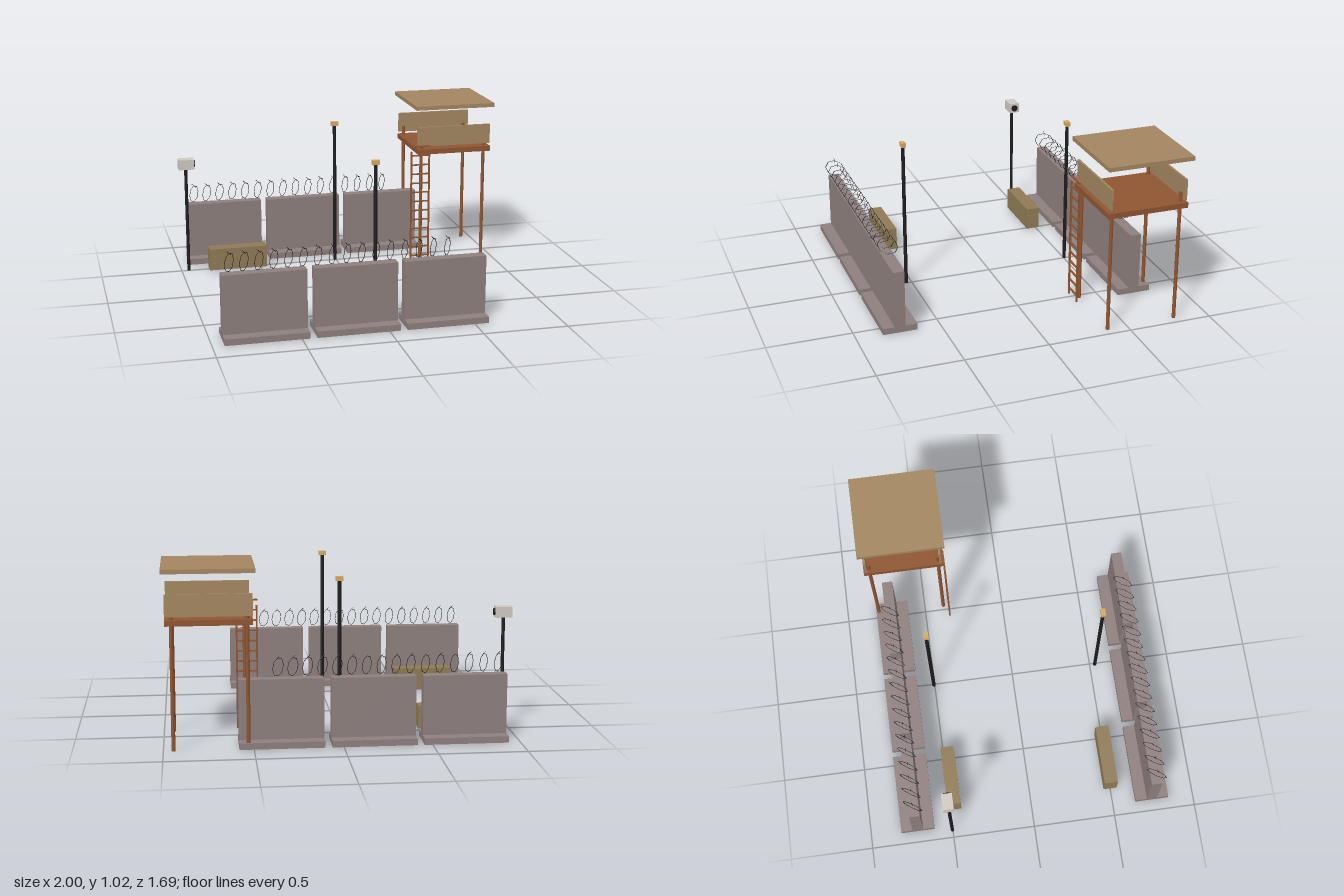
import * as THREE from 'three';

const mat = (color) => new THREE.MeshStandardMaterial({ color, flatShading: true });

export function createModel() {
  const concrete = mat(0x8e7f7e), steel = mat(0x1c1c1e), wood = mat(0x8f5530);
  const plank = mat(0xa38660), sack = mat(0x8f7a55), lampGlow = mat(0xd9a860), casing = mat(0xcfc8c2);

  const root = new THREE.Group();
  const group = (name, parent = root) => {
    const g = new THREE.Group();
    g.name = name;
    parent.add(g);
    return g;
  };
  const add = (parent, name, geo, material, x, y, z) => {
    const m = new THREE.Mesh(geo, material);
    m.name = name;
    m.position.set(x, y, z);
    parent.add(m);
    return m;
  };
  // Box from its min and max along each axis
  const box = (parent, name, material, [x0, x1], [y0, y1], [z0, z1]) =>
    add(parent, name, new THREE.BoxGeometry(x1 - x0, y1 - y0, z1 - z0), material,
      (x0 + x1) / 2, (y0 + y1) / 2, (z0 + z1) / 2);
  // Upright round post
  const post = (parent, name, material, r, x, z, top) =>
    add(parent, name, new THREE.CylinderGeometry(r, r, top, 8), material, x, top / 2, z);

  // Barrier walls: three footed slabs topped by wire loops
  const ringGeo = new THREE.TorusGeometry(0.052, 0.0016, 4, 8);
  ringGeo.scale(1.2, 1, 1);
  const barbGeo = new THREE.CylinderGeometry(0.0014, 0.0014, 0.032, 4);
  const wallLine = (name, z) => {
    const g = group(name);
    for (let i = 0; i < 3; i++) {
      const x = -0.932 + i * 0.518;
      box(g, 'wallFoot', concrete, [x, x + 0.478], [0, 0.037], [z - 0.102, z + 0.102]);
      box(g, 'wallSlab', concrete, [x, x + 0.478], [0.037, 0.38], [z - 0.032, z + 0.032]);
    }
    for (let i = 0; i < 16; i++) {
      const x = -0.883 + i * 0.0828;
      add(g, 'wireLoop', ringGeo, steel, x, 0.443, z).rotation.y = 1.0;
      add(g, 'wireBarb', barbGeo, steel, x, 0.496, z).rotation.z = 0.8;
    }
  };
  wallLine('frontWall', 0.742);
  wallLine('backWall', -0.712);

  // Stacked bags, three long and three high
  const bagStack = (name, z) => {
    const g = group(name);
    for (let row = 0; row < 3; row++) {
      for (let col = 0; col < 3; col++) {
        const x = -0.83 + col * 0.1217, y = 0.012 + row * 0.046;
        box(g, 'bag', sack, [x, x + 0.1217], [y, y + 0.045], [z - 0.041, z + 0.041]);
      }
    }
  };
  bagStack('frontBagStack', 0.498);
  bagStack('backBagStack', -0.472);

  // Lamp posts
  for (const [name, z] of [['frontLampPost', 0.533], ['backLampPost', -0.505]]) {
    const g = group(name);
    post(g, 'lampPole', steel, 0.011, -0.006, z, 0.89);
    box(g, 'lampHead', lampGlow, [-0.028, 0.016], [0.888, 0.914], [z - 0.014, z + 0.014]);
  }

  // Camera post
  const cam = group('cameraPost');
  post(cam, 'cameraPole', steel, 0.01, -0.955, -0.503, 0.67);
  box(cam, 'cameraBody', casing, [-1, -0.905], [0.663, 0.725], [-0.535, -0.472]);
  add(cam, 'cameraLens', new THREE.CylinderGeometry(0.021, 0.021, 0.012, 8), steel, -0.903, 0.694, -0.503)
    .rotation.z = Math.PI / 2;

  // Watchtower
  const tower = group('watchtower');
  for (const x of [0.53, 0.944]) {
    for (const z of [-0.38, -0.797]) post(tower, 'towerLeg', wood, 0.011, x, z, 0.793);
  }
  box(tower, 'platform', wood, [0.5, 0.98], [0.705, 0.737], [-0.83, -0.345]);
  for (const z of [-0.366, -0.814]) {
    box(tower, 'guardPanel', plank, [0.5, 0.98], [0.753, 0.878], [z - 0.006, z + 0.006]);
  }
  box(tower, 'roof', plank, [0.485, 0.997], [0.993, 1.018], [-0.847, -0.332]);

  // Ladder at the tower's corner
  const ladder = group('ladder', tower);
  for (const x of [0.457, 0.574]) {
    box(ladder, 'ladderRail', wood, [x - 0.005, x + 0.005], [0, 0.727], [-0.35, -0.34]);
  }
  for (let i = 0; i < 13; i++) {
    const y = 0.04 + i * 0.06;
    box(ladder, 'ladderRung', wood, [0.453, 0.578], [y - 0.004, y + 0.004], [-0.35, -0.34]);
  }

  return root;
}
